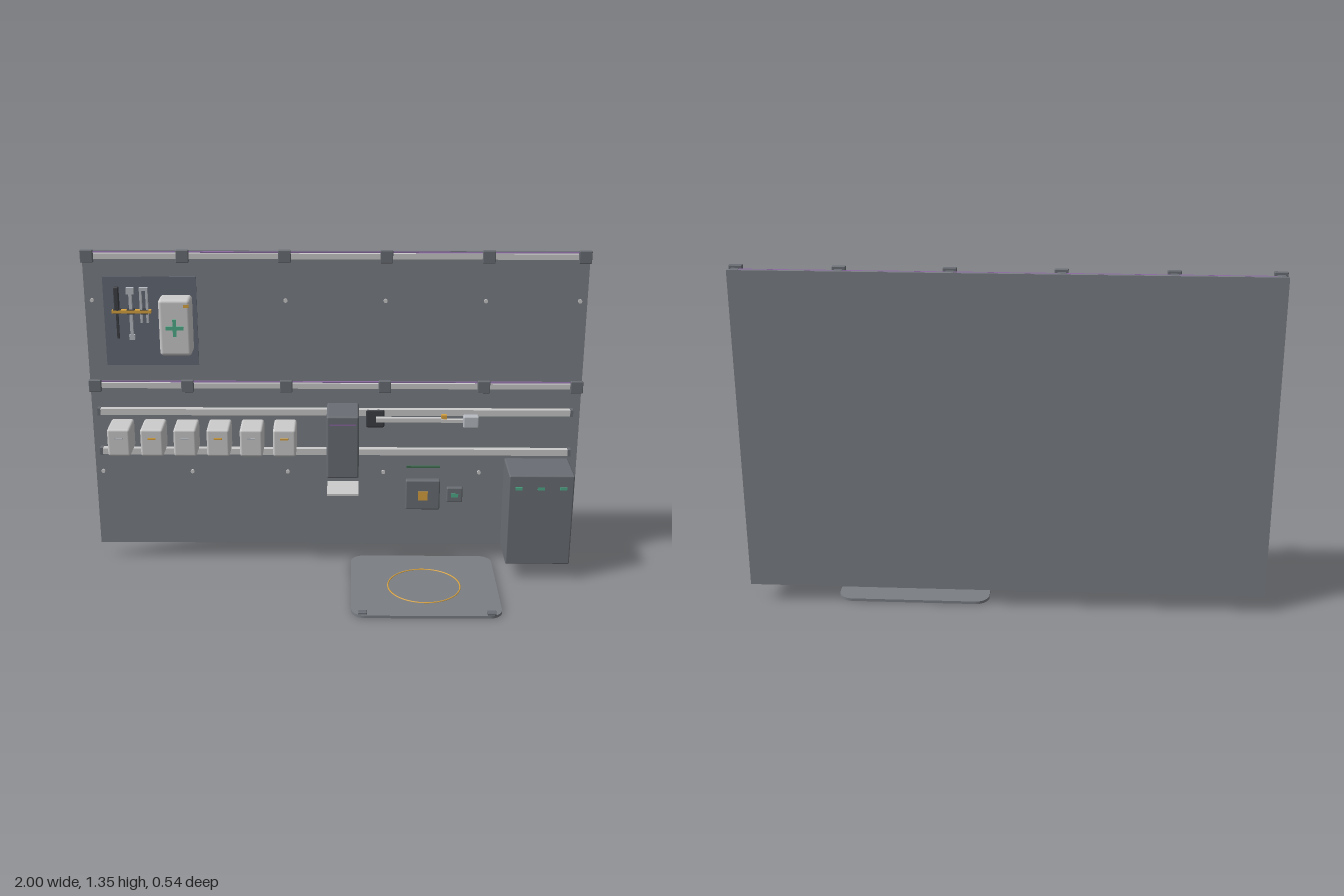
import * as THREE from 'three';
import { RoundedBoxGeometry } from 'three/addons/geometries/RoundedBoxGeometry.js';

const mat = (color) => new THREE.MeshStandardMaterial({ color });
const M = {
  wall: mat(0x7b7f85), dark: mat(0x6a6e74), black: mat(0x3c3f44), light: mat(0xcccccc),
  board: mat(0x646a76), steel: mat(0xb8bcc2), amber: mat(0xd9a441), green: mat(0x4fae8a),
  deepGreen: mat(0x3f6b50), purple: mat(0x8a6aa0),
};

export function createModel() {
  const root = new THREE.Group();

  const add = (parent, name, geometry, material) => {
    const mesh = new THREE.Mesh(geometry, material);
    mesh.name = name;
    parent.add(mesh);
    return mesh;
  };
  // Box given by its extents; r > 0 rounds the edges
  const block = (parent, name, material, [x0, x1], [y0, y1], [z0, z1], r = 0) => {
    const size = [x1 - x0, y1 - y0, z1 - z0];
    const geometry = r ? new RoundedBoxGeometry(...size, 3, r) : new THREE.BoxGeometry(...size);
    const mesh = add(parent, name, geometry, material);
    mesh.position.set((x0 + x1) / 2, (y0 + y1) / 2, (z0 + z1) / 2);
    return mesh;
  };
  const around = (c, w) => [c - w / 2, c + w / 2];
  const group = (name) => {
    const g = new THREE.Group();
    g.name = name;
    root.add(g);
    return g;
  };

  // Back wall with rows of bolts
  block(root, 'wallPanel', M.wall, [-1, 1], [0.07, 1.335], [-0.272, -0.26]);
  const columns = [-0.975, -0.6, -0.2, 0.2, 0.6, 0.975];
  const bolts = group('wallBolts');
  for (const y of [1.135, 0.4]) {
    for (const x of columns) {
      const bolt = add(bolts, 'bolt', new THREE.CylinderGeometry(0.008, 0.008, 0.01, 12), M.light);
      bolt.rotation.x = Math.PI / 2;
      bolt.position.set(x * 0.995, y, -0.256);
    }
  }

  // Bracketed upper rails
  for (const y of [1.32, 0.785]) {
    const rail = group('bracketedRail');
    block(rail, 'railBar', M.light, [-0.975, 0.975], around(y - 0.002, 0.022), [-0.255, -0.236]);
    block(rail, 'railBacking', M.dark, [-0.975, 0.975], around(y, 0.012), [-0.262, -0.255]);
    block(rail, 'railTrim', M.purple, [-0.975, 0.975], [y + 0.01, y + 0.014], [-0.255, -0.245]);
    for (const x of columns) {
      block(rail, 'bracket', M.dark, around(x, 0.05), around(y, 0.05), [-0.238, -0.22], 0.003);
      block(rail, 'bracketStem', M.dark, around(x, 0.03), around(y, 0.03), [-0.262, -0.238]);
    }
  }

  // Plain lower rails
  for (const y of [0.67, 0.497]) {
    const rail = group('mountingRail');
    block(rail, 'railBar', M.light, [-0.97, 0.96], around(y, 0.026), [-0.258, -0.233]);
    for (const x of [-0.968, 0.963]) {
      block(rail, 'railCap', M.dark, around(x, 0.012), around(y, 0.03), [-0.26, -0.231]);
    }
  }

  // Tool board
  const board = group('toolBoard');
  block(board, 'boardPanel', M.board, [-0.92, -0.55], [0.873, 1.237], [-0.238, -0.231]);
  block(board, 'toolHolder', M.amber, [-0.885, -0.73], around(1.1, 0.012), [-0.231, -0.205]);
  for (const x of [-0.865, -0.81, -0.757]) {
    block(board, 'toolClip', M.black, around(x, 0.03), around(1.1, 0.018), [-0.231, -0.206]);
  }
  block(board, 'screwdriverHandle', M.black, around(-0.865, 0.02), [1.1, 1.2], [-0.225, -0.205], 0.004);
  block(board, 'screwdriverShaft', M.black, around(-0.865, 0.009), [0.99, 1.1], [-0.22, -0.21]);
  block(board, 'wrenchShaft', M.steel, around(-0.81, 0.012), [0.99, 1.18], [-0.222, -0.208]);
  block(board, 'wrenchHead', M.steel, around(-0.81, 0.03), [1.172, 1.198], [-0.224, -0.205]);
  block(board, 'wrenchTail', M.steel, around(-0.81, 0.022), [0.985, 1.005], [-0.224, -0.206]);
  for (const s of [-1, 1]) {
    block(board, 'pliersArm', M.steel, around(-0.757 + s * 0.012, 0.009), [1.055, 1.19], [-0.222, -0.208]);
  }
  block(board, 'pliersBridge', M.steel, around(-0.757, 0.034), [1.186, 1.197], [-0.222, -0.208]);

  // First aid case
  const aid = group('firstAidCase');
  block(aid, 'caseBody', M.light, [-0.692, -0.566], [0.938, 1.167], [-0.231, -0.14], 0.014);
  block(aid, 'crossBar', M.green, around(-0.63, 0.07), around(1.053, 0.014), [-0.142, -0.136]);
  block(aid, 'crossPost', M.green, around(-0.63, 0.014), around(1.053, 0.07), [-0.142, -0.1362]);
  block(aid, 'caseLatch', M.amber, around(-0.582, 0.022), around(1.142, 0.012), [-0.145, -0.137]);

  // Row of storage bins
  for (let i = 0; i < 6; i++) {
    const x = -0.87 + i * 0.1332;
    const bin = group('storageBin');
    block(bin, 'binBody', M.light, around(x, 0.092), [0.527, 0.643], [-0.231, -0.1], 0.01);
    block(bin, 'binTab', i % 2 ? M.amber : M.steel, around(x, 0.032), around(0.605, 0.006), [-0.102, -0.095]);
  }

  // Dispenser with drip tray
  const dispenser = group('dispenser');
  block(dispenser, 'dispenserBody', M.dark, [-0.034, 0.095], [0.445, 0.71], [-0.248, -0.075], 0.008);
  block(dispenser, 'dispenserStripe', M.purple, [-0.022, 0.083], around(0.675, 0.006), [-0.078, -0.0735]);
  block(dispenser, 'dripTray', M.light, [-0.033, 0.095], [0.372, 0.382], [-0.2, -0.066]);

  // Folded arm
  const arm = group('foldedArm');
  block(arm, 'armBase', M.black, [0.125, 0.2], [0.607, 0.683], [-0.26, -0.229], 0.006);
  block(arm, 'armLink', M.light, [0.165, 0.45], [0.637, 0.655], [-0.229, -0.21]);
  block(arm, 'armForelink', M.light, [0.43, 0.53], [0.636, 0.65], [-0.223, -0.208]);
  block(arm, 'armJoint', M.amber, around(0.442, 0.022), [0.653, 0.67], [-0.223, -0.207]);
  block(arm, 'armHead', M.steel, [0.52, 0.583], [0.617, 0.668], [-0.228, -0.195], 0.006);

  // Wall controls
  const controls = group('wallControls');
  block(controls, 'indicatorStrip', M.deepGreen, [0.295, 0.435], around(0.425, 0.007), [-0.26, -0.25]);
  block(controls, 'controlBox', M.dark, [0.293, 0.436], [0.239, 0.371], [-0.26, -0.232], 0.006);
  block(controls, 'controlButton', M.amber, around(0.365, 0.04), around(0.303, 0.04), [-0.234, -0.226]);
  block(controls, 'switchBox', M.dark, [0.465, 0.531], [0.27, 0.336], [-0.26, -0.238], 0.005);
  block(controls, 'switchLight', M.green, around(0.498, 0.03), around(0.303, 0.014), [-0.24, -0.233]);

  // Floor cabinet
  const cabinet = group('cabinet');
  block(cabinet, 'cabinetBody', M.dark, [0.7, 0.963], [0.072, 0.465], [-0.258, -0.062], 0.006);
  for (const x of [0.74, 0.83, 0.92]) {
    block(cabinet, 'cabinetLight', M.green, around(x, 0.028), around(0.41, 0.012), [-0.064, -0.058]);
  }

  // Floor mat with rounded corners
  const floor = group('floorMat');
  const w = 0.297, d = 0.265, r = 0.055;
  const outline = new THREE.Shape();
  outline.absarc(w - r, d - r, r, 0, Math.PI / 2);
  outline.absarc(-w + r, d - r, r, Math.PI / 2, Math.PI);
  outline.absarc(-w + r, -d + r, r, Math.PI, Math.PI * 1.5);
  outline.absarc(w - r, -d + r, r, Math.PI * 1.5, Math.PI * 2);
  const pad = add(floor, 'matPlate',
    new THREE.ExtrudeGeometry(outline, { depth: 0.011, bevelEnabled: false, curveSegments: 8 }), M.wall);
  pad.rotation.x = -Math.PI / 2;
  pad.position.set(0.363, 0, 0.005);
  const ring = add(floor, 'matRing', new THREE.TorusGeometry(0.147, 0.003, 8, 64), M.amber);
  ring.rotation.x = Math.PI / 2;
  ring.position.set(0.363, 0.0115, 0.017);
  for (const s of [-1, 1]) {
    block(floor, 'matFoot', M.dark, around(0.363 + s * 0.253, 0.036), [0.01, 0.02], [0.237, 0.263], 0.003);
  }

  return root;
}
